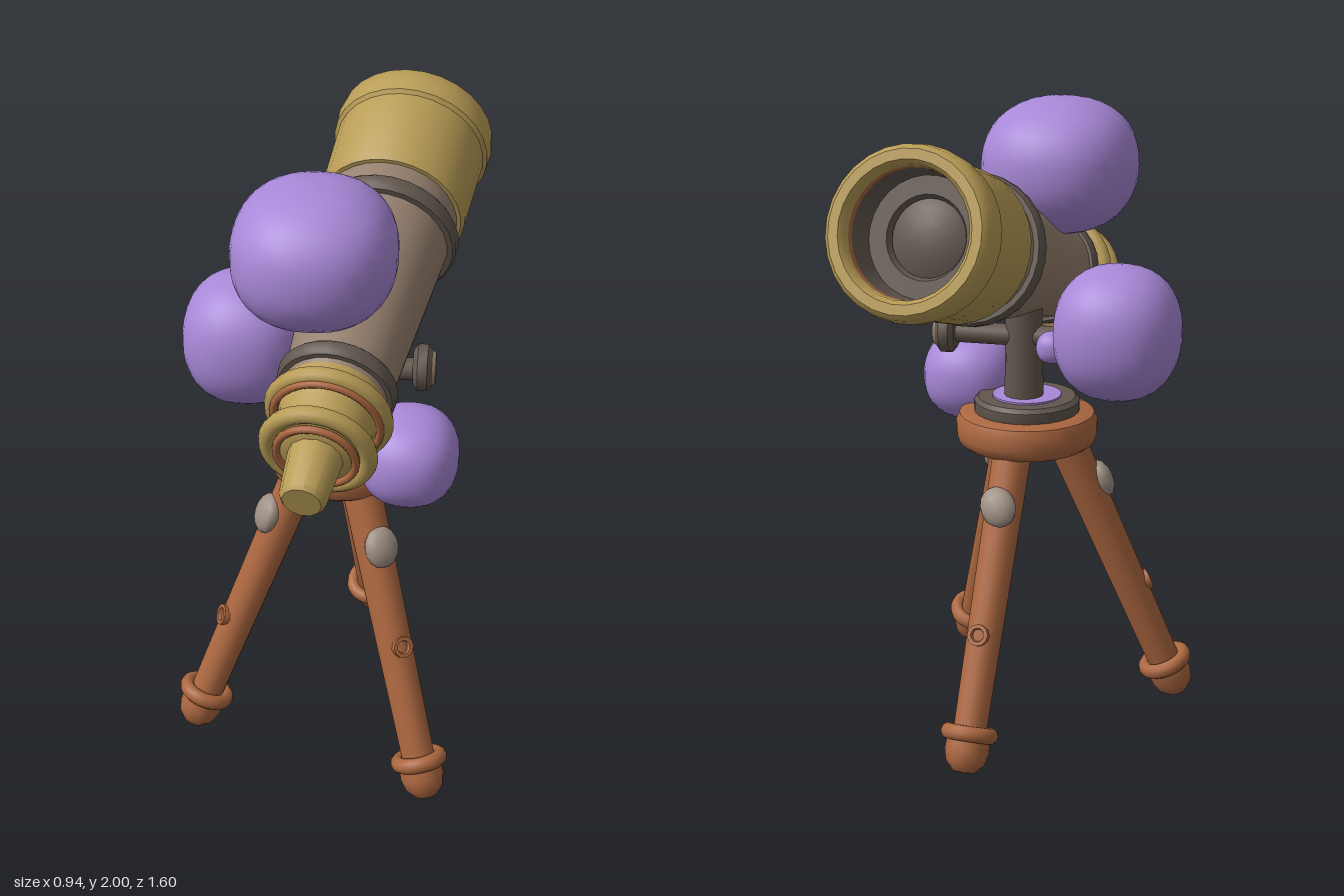
import * as THREE from 'three';
import { toCreasedNormals } from 'three/addons/utils/BufferGeometryUtils.js';

const material = (name, color, extra = {}) =>
  Object.assign(new THREE.MeshStandardMaterial({ color, ...extra }), { name });
const V = (x, y, z) => new THREE.Vector3(x, y, z);
const UP = V(0, 1, 0);

export function createModel() {
  const brass = material('brass', 0xb89c56);
  const taupe = material('taupe', 0x96806f);
  const dark = material('dark metal', 0x62574e);
  const wood = material('wood', 0xac6740);
  const purple = material('purple', 0xa888d8);
  const stone = material('pale stone', 0x9e8f83);

  const model = new THREE.Group();
  model.name = 'tripodTelescope';

  const add = (parent, name, geometry, mat, pos = V(0, 0, 0)) => {
    const mesh = new THREE.Mesh(geometry, mat);
    mesh.name = name;
    mesh.position.copy(pos);
    parent.add(mesh);
    return mesh;
  };
  // Turned part from [radius, height] pairs
  const lathe = (points, segments = 28) => toCreasedNormals(
    new THREE.LatheGeometry(points.map(([r, y]) => new THREE.Vector2(r, y)), segments), 0.7);
  // Ring lying around the y axis
  const ring = (radius, thick) => new THREE.TorusGeometry(radius, thick, 10, 32).rotateX(Math.PI / 2);
  // Group whose y axis runs from one point towards another
  const axisGroup = (name, from, to) => {
    const g = new THREE.Group();
    g.name = name;
    g.position.copy(from);
    g.quaternion.setFromUnitVectors(UP, to.clone().sub(from).normalize());
    model.add(g);
    return g;
  };

  // Optical tube, from eyepiece tip (y = 0) to open front (y = 1.6)
  const scope = axisGroup('opticalTube', V(0, 1.27, 0.78), V(0.22, 1.77, -0.72));
  add(scope, 'eyepiece', lathe([[0, 0], [0.058, 0], [0.07, 0.015], [0.084, 0.19]], 12), brass);
  add(scope, 'eyepieceHousing', lathe([[0, 0.165], [0.1, 0.17], [0.135, 0.19], [0.14, 0.3],
    [0.155, 0.34], [0.155, 0.41]]), brass);
  add(scope, 'rearFlange', ring(0.15, 0.027), brass, V(0, 0.2, 0));
  add(scope, 'frontFlange', ring(0.167, 0.027), brass, V(0, 0.335, 0));
  add(scope, 'rearAccentRing', ring(0.118, 0.012), wood, V(0, 0.172, 0));
  add(scope, 'frontAccentRing', ring(0.16, 0.012), wood, V(0, 0.308, 0));
  add(scope, 'barrel', lathe([[0, 0.385], [0.14, 0.385], [0.155, 0.4], [0.162, 0.45],
    [0.208, 1.08], [0.212, 1.22]]), taupe);
  add(scope, 'rearBand', lathe([[0.15, 0.415], [0.172, 0.415], [0.18, 0.425], [0.182, 0.455],
    [0.174, 0.467], [0.15, 0.467]]), dark);
  add(scope, 'frontBand', lathe([[0.2, 1.06], [0.224, 1.06], [0.233, 1.072], [0.234, 1.105],
    [0.226, 1.118], [0.2, 1.118]]), dark);
  add(scope, 'hood', lathe([[0.2, 1.19], [0.224, 1.19], [0.234, 1.205], [0.24, 1.48],
    [0.252, 1.49], [0.256, 1.54], [0.25, 1.585], [0.235, 1.6], [0.205, 1.6], [0.192, 1.585],
    [0.19, 1.56]]), brass);
  add(scope, 'innerAccentRing', lathe([[0.19, 1.56], [0.188, 1.54]]), wood);
  add(scope, 'hoodLining', lathe([[0.188, 1.54], [0.18, 1.44], [0.125, 1.44], [0.115, 1.42]]), dark);
  add(scope, 'frontLens', lathe([[0.117, 1.415], [0.09, 1.43], [0.045, 1.442], [0, 1.445]]), dark);

  // Mount: base disc, column, saddle, axle and knob
  add(model, 'platform', lathe([[0, 0.92], [0.2, 0.92], [0.219, 0.935], [0.226, 0.96], [0.226, 1.0],
    [0.215, 1.025], [0.195, 1.032], [0, 1.032]]), wood, V(0.045, 0, 0.03));
  add(model, 'baseDisc', lathe([[0, 1.02], [0.163, 1.02], [0.168, 1.03], [0.168, 1.065],
    [0.155, 1.078], [0, 1.078]]), dark, V(0.045, 0, 0.03));
  add(model, 'baseInlay', new THREE.CylinderGeometry(0.11, 0.11, 0.008, 24), purple, V(0.045, 1.08, 0.03));
  add(model, 'column', new THREE.CylinderGeometry(0.058, 0.062, 0.3, 14), dark, V(0.052, 1.22, 0.02));
  add(model, 'axle', new THREE.CylinderGeometry(0.035, 0.035, 0.36, 12).rotateZ(Math.PI / 2), dark,
    V(0.11, 1.28, 0.01));
  add(model, 'knob', lathe([[0, 0], [0.055, 0], [0.073, 0.015], [0.073, 0.045], [0.055, 0.06]], 12)
    .rotateZ(-Math.PI / 2), dark, V(0.265, 1.285, 0.005));
  add(model, 'knobCap', lathe([[0.056, 0], [0.048, 0.012], [0, 0.015]], 12)
    .rotateZ(-Math.PI / 2), taupe, V(0.323, 1.285, 0.005));

  // Purple orbs: slightly squared ellipsoids
  const orb = (name, pos, rx, ry, rz) => {
    const g = new THREE.SphereGeometry(1, 32, 22);
    const p = g.attributes.position, v = V(0, 0, 0);
    for (let i = 0; i < p.count; i++) {
      v.fromBufferAttribute(p, i);
      const n = (Math.abs(v.x) ** 2.3 + Math.abs(v.y) ** 2.3 + Math.abs(v.z) ** 2.3) ** (1 / 2.3);
      p.setXYZ(i, v.x / n * rx, v.y / n * ry, v.z / n * rz);
    }
    g.computeVertexNormals();
    add(model, name, g, purple, pos);
  };
  orb('topOrb', V(-0.018, 1.785, 0.235), 0.246, 0.213, 0.267);
  orb('rightOrb', V(-0.265, 1.33, -0.065), 0.198, 0.21, 0.203);
  orb('leftOrb', V(0.268, 1.09, 0.205), 0.155, 0.148, 0.173);
  orb('smallOrb', V(-0.06, 1.27, -0.07), 0.05, 0.05, 0.05);

  // Legs: [name, top, foot]
  const legs = [
    ['rightLeg', V(-0.07, 0.94, 0.065), V(-0.405, 0.075, 0.212)],
    ['leftLeg', V(0.118, 0.94, 0.165), V(0.35, 0.075, 0.505)],
    ['backLeg', V(0.06, 0.94, -0.1), V(0.115, 0.075, -0.5)],
  ];
  for (const [name, top, foot] of legs) {
    const leg = axisGroup(name, foot, top);
    const length = foot.distanceTo(top);
    add(leg, name + 'Shaft', new THREE.CylinderGeometry(0.062, 0.052, length, 16), wood, V(0, length / 2, 0));
    add(leg, name + 'Foot', lathe([[0, -0.07], [0.035, -0.065], [0.06, -0.038], [0.07, 0],
      [0.066, 0.045]], 14), wood);
    add(leg, name + 'Collar', ring(0.068, 0.023).scale(1, 1.1, 1), wood, V(0, 0.055, 0));

    // Outward direction, square to the shaft
    const axis = top.clone().sub(foot).normalize();
    const out = foot.clone().sub(top).setY(0).normalize();
    out.addScaledVector(axis, -out.dot(axis)).normalize();
    const place = (y, offset) => foot.clone().lerp(top, (y - foot.y) / (top.y - foot.y))
      .addScaledVector(out, offset);

    const pad = add(model, name + 'Pad', new THREE.SphereGeometry(1, 12, 8).scale(0.058, 0.066, 0.036),
      stone, place(0.765, 0.055));
    pad.quaternion.setFromUnitVectors(V(0, 0, 1), out);
    const peg = add(model, name + 'Peg', lathe([[0.034, -0.03], [0.034, 0.012], [0.022, 0.012],
      [0.018, 0], [0, 0]], 12), wood, place(name === 'leftLeg' ? 0.47 : 0.4, 0.053));
    peg.quaternion.setFromUnitVectors(UP, out);
  }
  return model;
}
